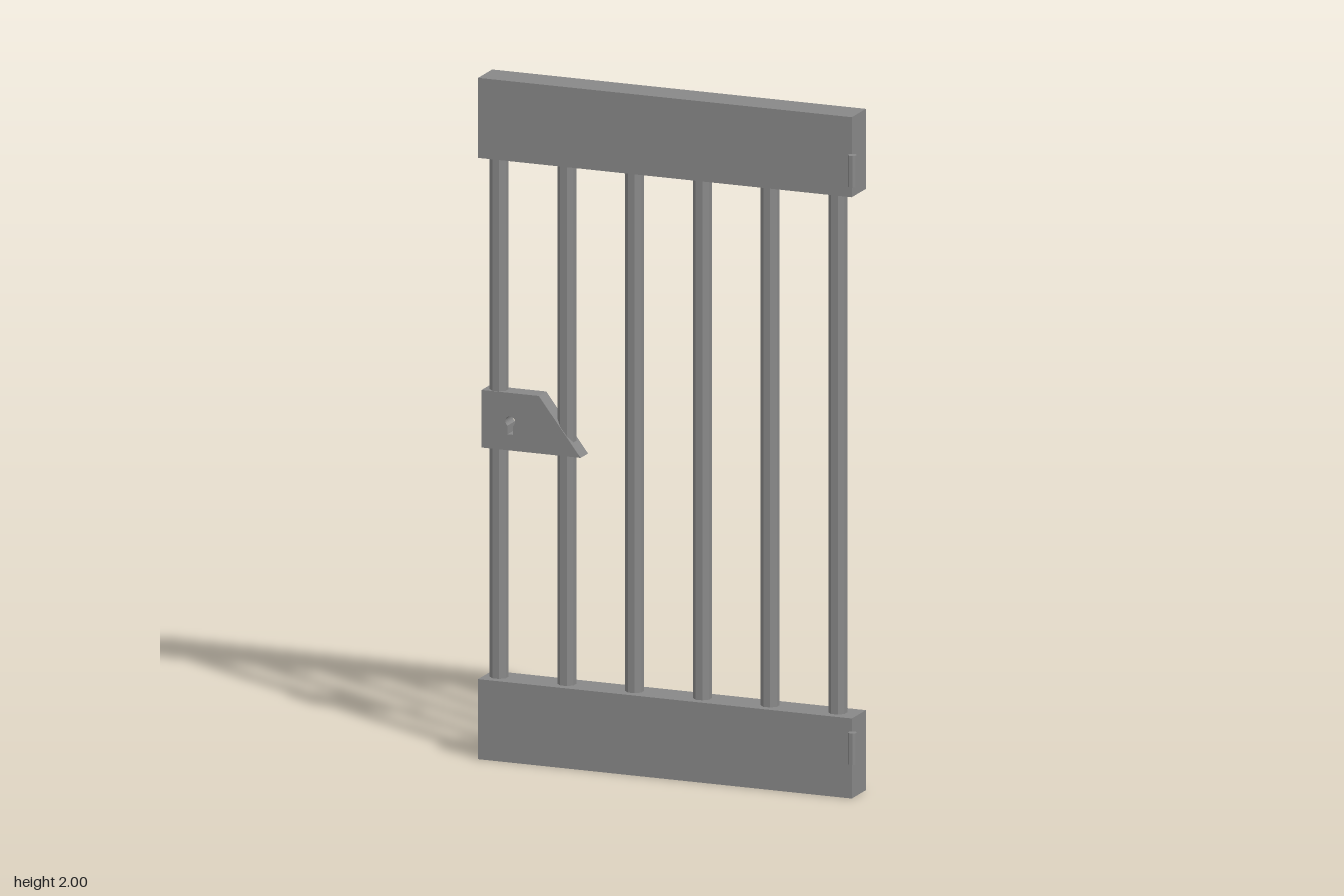
import * as THREE from 'three';

const MID_Z = -0.01; // depth centre of the rails

// Eight-sided rod with a flat side facing front
const rod = (radius, length) =>
  new THREE.CylinderGeometry(radius, radius, length, 8).rotateY(Math.PI / 8);

export function createModel() {
  const gate = new THREE.Group();
  gate.name = 'barredGate';
  const material = new THREE.MeshStandardMaterial({ color: 0x888888, flatShading: true });

  const add = (name, geometry, x, y, z) => {
    const mesh = new THREE.Mesh(geometry, material);
    mesh.name = name;
    mesh.position.set(x, y, z);
    gate.add(mesh);
  };

  // Top and bottom rails, each with a hinge pin on the left front corner
  const railHeight = 0.235;
  const rail = new THREE.BoxGeometry(1.152, railHeight, 0.103);
  const pin = rod(0.013, 0.093);
  add('bottomRail', rail, -0.009, railHeight / 2, MID_Z);
  add('topRail', rail, -0.009, 2 - railHeight / 2, MID_Z);
  add('bottomHingePin', pin, 0.572, 0.15, 0.049);
  add('topHingePin', pin, 0.572, 1.845, 0.049);

  // Six evenly spaced bars, sunk slightly into the rails
  const bar = rod(0.027, 2 - 2 * railHeight + 0.02);
  for (let i = 0; i < 6; i++) add(`bar${i + 1}`, bar, -0.541 + i * 0.2088, 1, -0.008);

  // Lock plate with a sloped end
  const plate = new THREE.Shape([
    [-0.583, 0.91], [-0.278, 0.91], [-0.407, 1.079], [-0.583, 1.079],
  ].map(([x, y]) => new THREE.Vector2(x, y)));

  // Keyhole: round top with a straight slot, cut right through
  const keyX = -0.495, keyY = 0.995, radius = 0.015, slot = 0.008;
  const angle = Math.asin(slot / radius);
  const keyhole = new THREE.Path();
  keyhole.moveTo(keyX - slot, 0.957);
  keyhole.lineTo(keyX + slot, 0.957);
  keyhole.absarc(keyX, keyY, radius, -Math.PI / 2 + angle, 1.5 * Math.PI - angle, false);
  keyhole.closePath();
  plate.holes.push(keyhole);

  const depth = 0.055;
  const lock = new THREE.ExtrudeGeometry(plate, { depth, bevelEnabled: false, curveSegments: 10 });
  add('lockPlate', lock, 0, 0, -0.007 - depth / 2);

  return gate;
}
